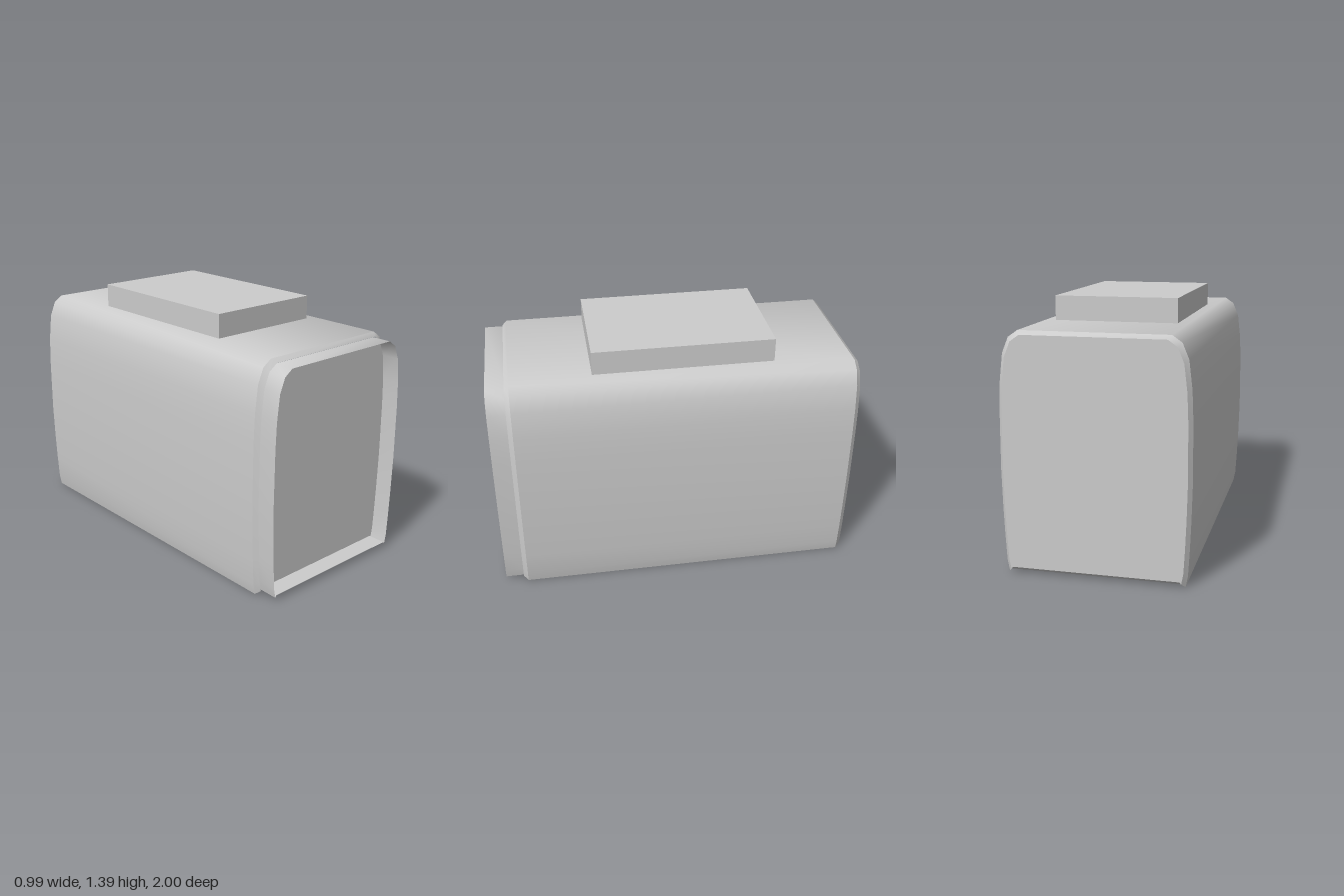
import * as THREE from 'three';
import { toCreasedNormals } from 'three/addons/utils/BufferGeometryUtils.js';

// Right half of the outer cross-section, from the top down to the flat underside
const HALF = [
  [0.385, 1.26], [0.435, 1.225], [0.468, 1.145], [0.485, 1.0], [0.491, 0.85],
  [0.493, 0.55], [0.488, 0.35], [0.482, 0.2], [0.474, 0.06], [0.463, 0.003], [0.455, 0.015],
];
const PROFILE = [...HALF, ...HALF.slice().reverse().map(([x, y]) => [-x, y])];

// Cross-section shrunk towards its centre
function section(inset) {
  return PROFILE.map(([x, y]) => [
    x * (1 - inset / 0.493),
    0.63 + (y - 0.63) * (1 - inset / 0.63),
  ]);
}

// Skin through [z, inset] stations; inward = true turns the faces to the inside
function loft(stations, inward = false) {
  const n = PROFILE.length, pos = [], idx = [];
  for (const [z, inset] of stations) for (const [x, y] of section(inset)) pos.push(x, y, z);
  for (let s = 0; s < stations.length - 1; s++) {
    for (let i = 0; i < n; i++) {
      const a = s * n + i, b = s * n + (i + 1) % n, c = a + n, d = b + n;
      if (inward) idx.push(a, b, c, b, d, c);
      else idx.push(a, c, b, b, c, d);
    }
  }
  const g = new THREE.BufferGeometry();
  g.setAttribute('position', new THREE.Float32BufferAttribute(pos, 3));
  g.setIndex(idx);
  return toCreasedNormals(g, 0.645);
}

// Flat end plate with the outline of the cross-section
function plate(inset) {
  return new THREE.ShapeGeometry(new THREE.Shape(section(inset).map(([x, y]) => new THREE.Vector2(x, y))));
}

export function createModel() {
  const group = new THREE.Group();
  const grey = new THREE.MeshStandardMaterial({ color: 0xcccccc });
  grey.name = 'grey';
  const add = (name, geometry) => {
    const mesh = new THREE.Mesh(geometry, grey);
    mesh.name = name;
    group.add(mesh);
    return mesh;
  };

  // Long shell with small bevels at both ends
  add('bodyShell', loft([[-1, 0.02], [-0.975, 0], [0.875, 0], [0.9, 0.02]]));
  const back = add('backPanel', plate(0.02));
  back.rotation.y = Math.PI;
  back.position.z = -1;

  // Thin projecting rim around the recessed front
  const rim = [[0.89, 0.025], [1, 0.025]];
  add('frontRimOuter', loft(rim));
  add('frontRimInner', loft(rim, true));
  add('frontPanel', plate(0.025)).position.z = 0.9;

  // Raised block on the roof
  add('roofBlock', new THREE.BoxGeometry(0.66, 0.14, 0.985)).position.set(0, 1.32, -0.0525);

  return group;
}
